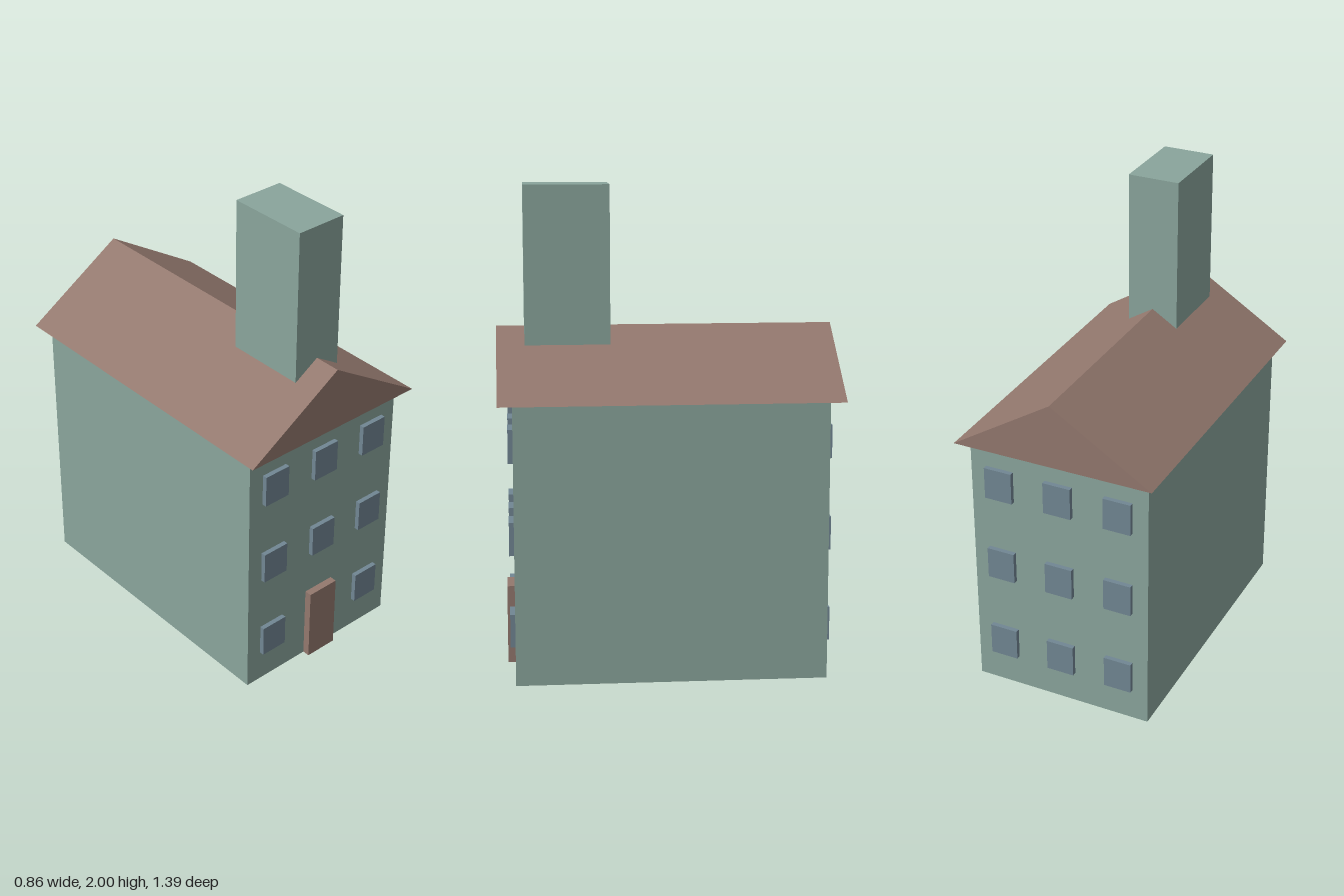
import * as THREE from 'three';

export function createModel() {
  const house = new THREE.Group();
  house.name = 'house';

  const mat = (name, color) => {
    const m = new THREE.MeshStandardMaterial({ color });
    m.name = name;
    return m;
  };
  const wallGreen = mat('wallGreen', 0x8aa59c);
  const roofBrown = mat('roofBrown', 0x93786e);
  const windowBlue = mat('windowBlue', 0x718693);

  const add = (name, geometry, material, x = 0, y = 0, z = 0) => {
    const mesh = new THREE.Mesh(geometry, material);
    mesh.name = name;
    mesh.position.set(x, y, z);
    house.add(mesh);
    return mesh;
  };

  // Walls
  add('walls', new THREE.BoxGeometry(0.78, 1.15, 1.27), wallGreen, 0, 0.575, 0);

  // Gabled roof with overhanging eaves
  const gable = new THREE.Shape([
    new THREE.Vector2(-0.43, 1.15),
    new THREE.Vector2(0.43, 1.15),
    new THREE.Vector2(0, 1.42),
  ]);
  const roof = new THREE.ExtrudeGeometry(gable, { depth: 1.39, bevelEnabled: false });
  add('roof', roof, roofBrown, 0, 0, -0.695);

  // Chimney straddling the ridge
  add('chimney', new THREE.BoxGeometry(0.22, 0.8, 0.35), wallGreen, 0, 1.6, 0.405);

  // Door
  add('door', new THREE.BoxGeometry(0.144, 0.33, 0.06), roofBrown, 0, 0.165, 0.636);

  // Raised windows on both gable ends; the door takes the front lower middle place
  const pane = new THREE.BoxGeometry(0.12, 0.138, 0.05);
  for (const side of [1, -1]) {
    for (const y of [0.21, 0.593, 0.973]) {
      for (const x of [-0.262, 0, 0.262]) {
        if (side === 1 && x === 0 && y === 0.21) continue;
        add(side === 1 ? 'frontWindow' : 'backWindow', pane, windowBlue, x, y, side * 0.63);
      }
    }
  }

  return house;
}
